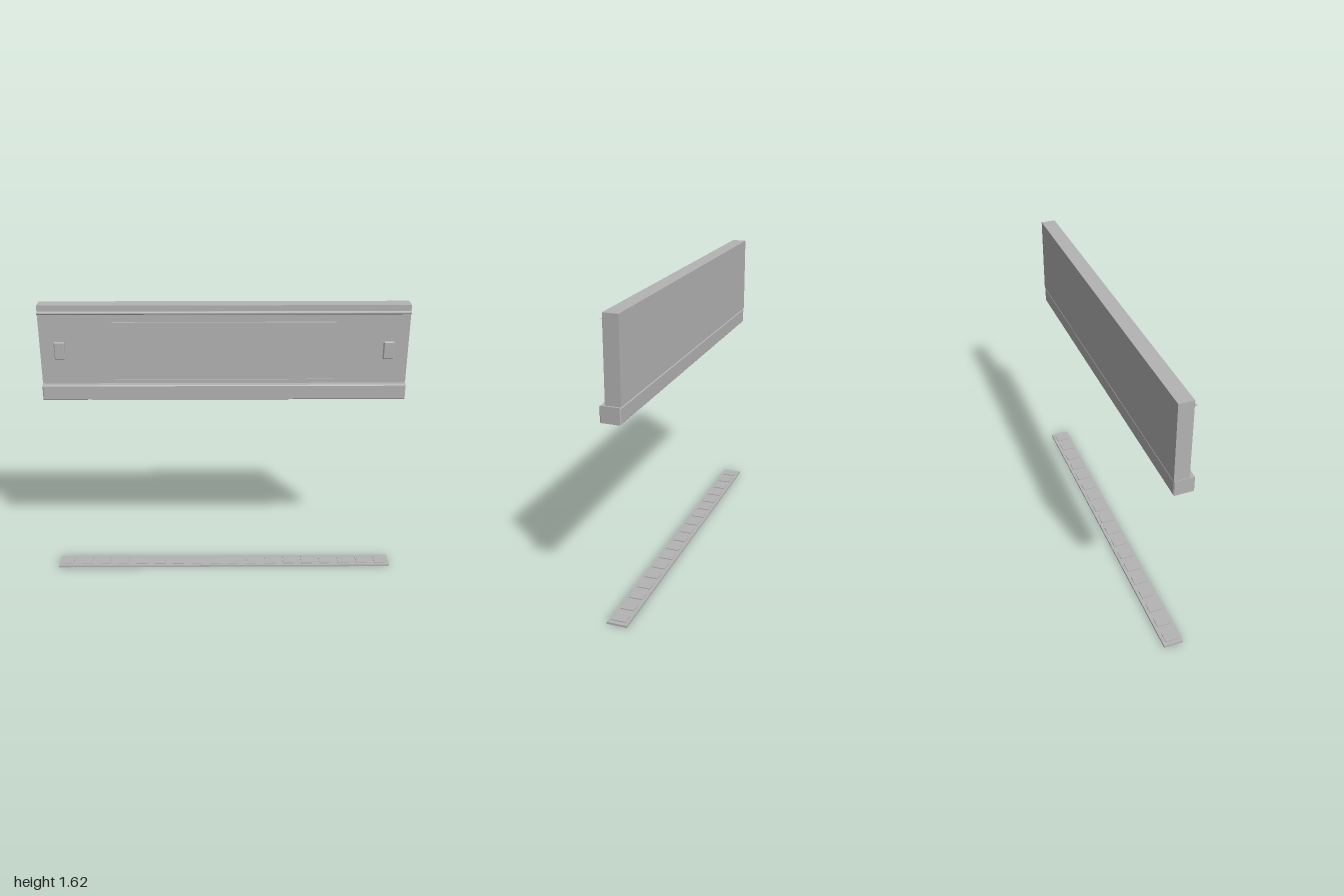
import * as THREE from 'three';

const grey = new THREE.MeshStandardMaterial({ color: 0xb4b4b4 });
grey.name = 'plain grey';

export function createModel() {
  const root = new THREE.Group();
  root.name = 'serviceCounterFrame';

  // Box given by its limits on each axis
  function block(name, x0, x1, y0, y1, z0, z1) {
    const m = new THREE.Mesh(new THREE.BoxGeometry(x1 - x0, y1 - y0, z1 - z0), grey);
    m.position.set((x0 + x1) / 2, (y0 + y1) / 2, (z0 + z1) / 2);
    m.name = name;
    root.add(m);
    return m;
  }

  // Box with small chamfered edges
  function chamferBlock(name, x0, x1, y0, y1, z0, z1, b) {
    const w = (x1 - x0) / 2 - b, h = (y1 - y0) / 2 - b;
    const shape = new THREE.Shape([
      new THREE.Vector2(-w, -h), new THREE.Vector2(w, -h),
      new THREE.Vector2(w, h), new THREE.Vector2(-w, h),
    ]);
    const g = new THREE.ExtrudeGeometry(shape, {
      depth: z1 - z0 - 2 * b, bevelEnabled: true, bevelSize: b, bevelThickness: b, bevelSegments: 1,
    });
    const m = new THREE.Mesh(g, grey);
    m.position.set((x0 + x1) / 2, (y0 + y1) / 2, z0 + b);
    m.name = name;
    root.add(m);
  }

  // Tall upper panel, standing on a thin recessed neck
  block('upperPanel', -1, 1, 1.184, 1.624, -0.056, 0.025);
  block('recessedNeck', -0.99, 0.99, 1.17, 1.19, -0.045, 0.02);

  // Round rail along the top of the panel, open at its ends
  const rail = new THREE.Mesh(new THREE.CylinderGeometry(0.009, 0.009, 2, 16, 1, true), grey);
  rail.rotation.z = Math.PI / 2;
  rail.position.set(0, 1.585, 0.033);
  rail.name = 'topRail';
  root.add(rail);

  // Thin centre plate with a lip above and below
  block('centrePlate', -0.597, 0.597, 1.205, 1.53, 0.02, 0.031);
  for (const y of [1.205, 1.53]) block('plateLip', -0.603, 0.603, y - 0.003, y + 0.003, 0.02, 0.038);

  // Switch blocks at both ends
  for (const s of [-1, 1]) {
    chamferBlock('switchBlock', s * 0.893 - 0.028, s * 0.893 + 0.028, 1.326, 1.422, 0.02, 0.042, 0.004);
  }

  // Lower beam with strips underneath
  chamferBlock('lowerBeam', -1, 1, 1.094, 1.18, -0.054, 0.055, 0.005);
  for (const z of [-0.016, 0.002, 0.02]) block('undersideStrip', -0.94, 0.94, 1.086, 1.098, z - 0.006, z + 0.006);

  // Floor sill with a row of raised treads
  block('floorSill', -1, 1, 0, 0.011, -0.056, 0.055);
  const count = 18, pitch = 2 / count;
  for (let i = 0; i < count; i++) {
    const x = -1 + pitch * (i + 0.5);
    block('sillTread', x - 0.032, x + 0.032, 0.008, 0.016, -0.038, 0.038);
  }
  return root;
}
